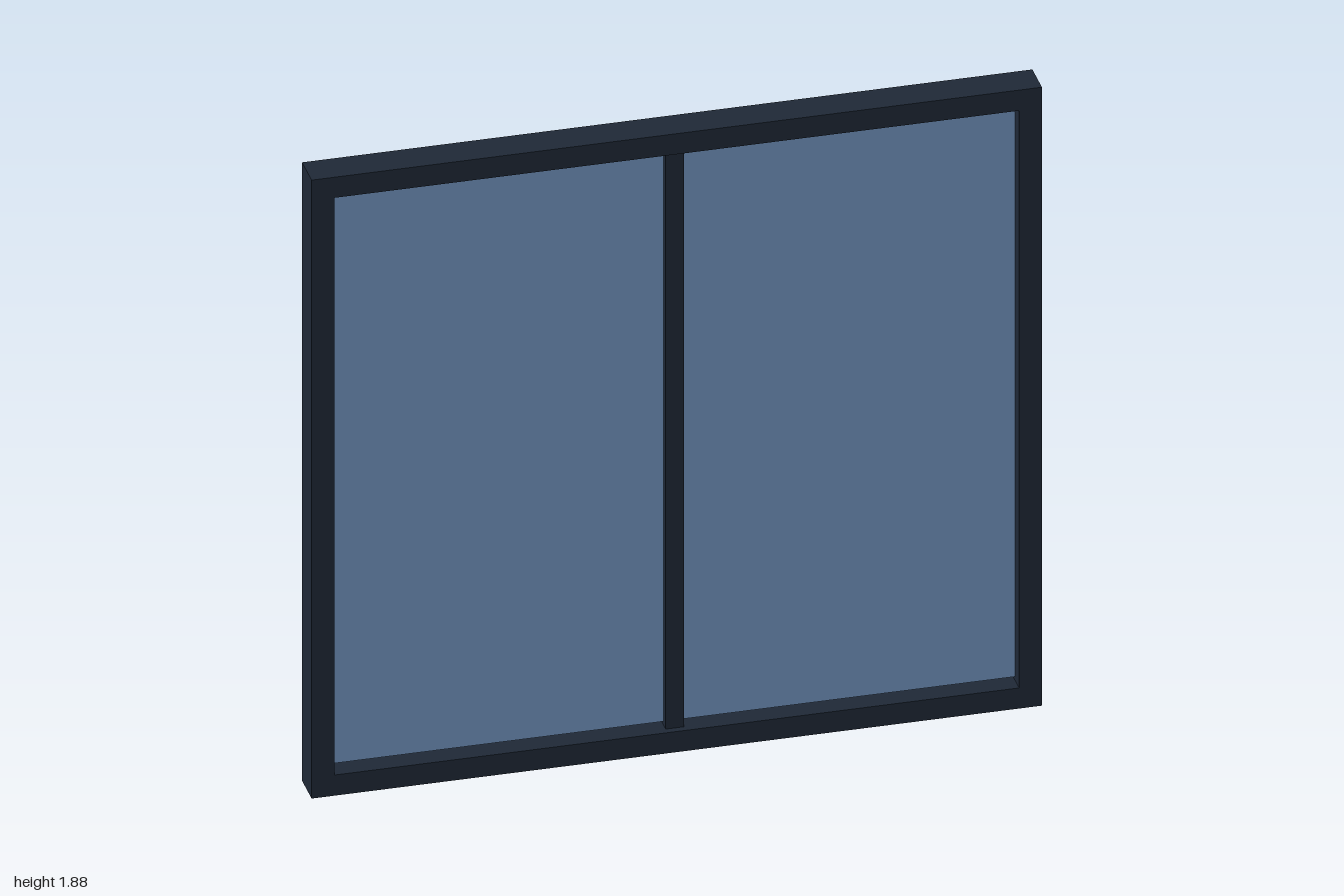
import * as THREE from 'three';

const W = 2, H = 1.875, DEPTH = 0.1, BAR = 0.0625;
const MULLION_W = 0.05, MULLION_D = 0.06, GAP = 0.01;

export function createModel() {
  const frameMat = new THREE.MeshStandardMaterial({ color: 0x1f2937 });
  frameMat.name = 'dark frame';
  const glassMat = new THREE.MeshStandardMaterial({ color: 0x7598c4 });
  glassMat.name = 'blue glass';

  const group = new THREE.Group();
  group.name = 'window';

  const box = (name, mat, w, h, d, x, y) => {
    const mesh = new THREE.Mesh(new THREE.BoxGeometry(w, h, d), mat);
    mesh.name = name;
    mesh.position.set(x, y, 0);
    group.add(mesh);
  };

  // Outer frame: sill and head run full width, jambs fit between them
  const innerH = H - 2 * BAR;
  box('sill', frameMat, W, BAR, DEPTH, 0, BAR / 2);
  box('head', frameMat, W, BAR, DEPTH, 0, H - BAR / 2);
  for (const [side, s] of [['left', 1], ['right', -1]]) {
    box(side + 'Jamb', frameMat, BAR, innerH, DEPTH, s * (W - BAR) / 2, H / 2);
  }

  // Central upright, shallower than the frame
  box('mullion', frameMat, MULLION_W, innerH, MULLION_D, 0, H / 2);

  // Two panes with a narrow gap above and below
  const x0 = MULLION_W / 2, x1 = W / 2 - BAR;
  for (const [side, s] of [['left', 1], ['right', -1]]) {
    box(side + 'Pane', glassMat, x1 - x0, innerH - 2 * GAP, 0.01, s * (x0 + x1) / 2, H / 2);
  }

  return group;
}
